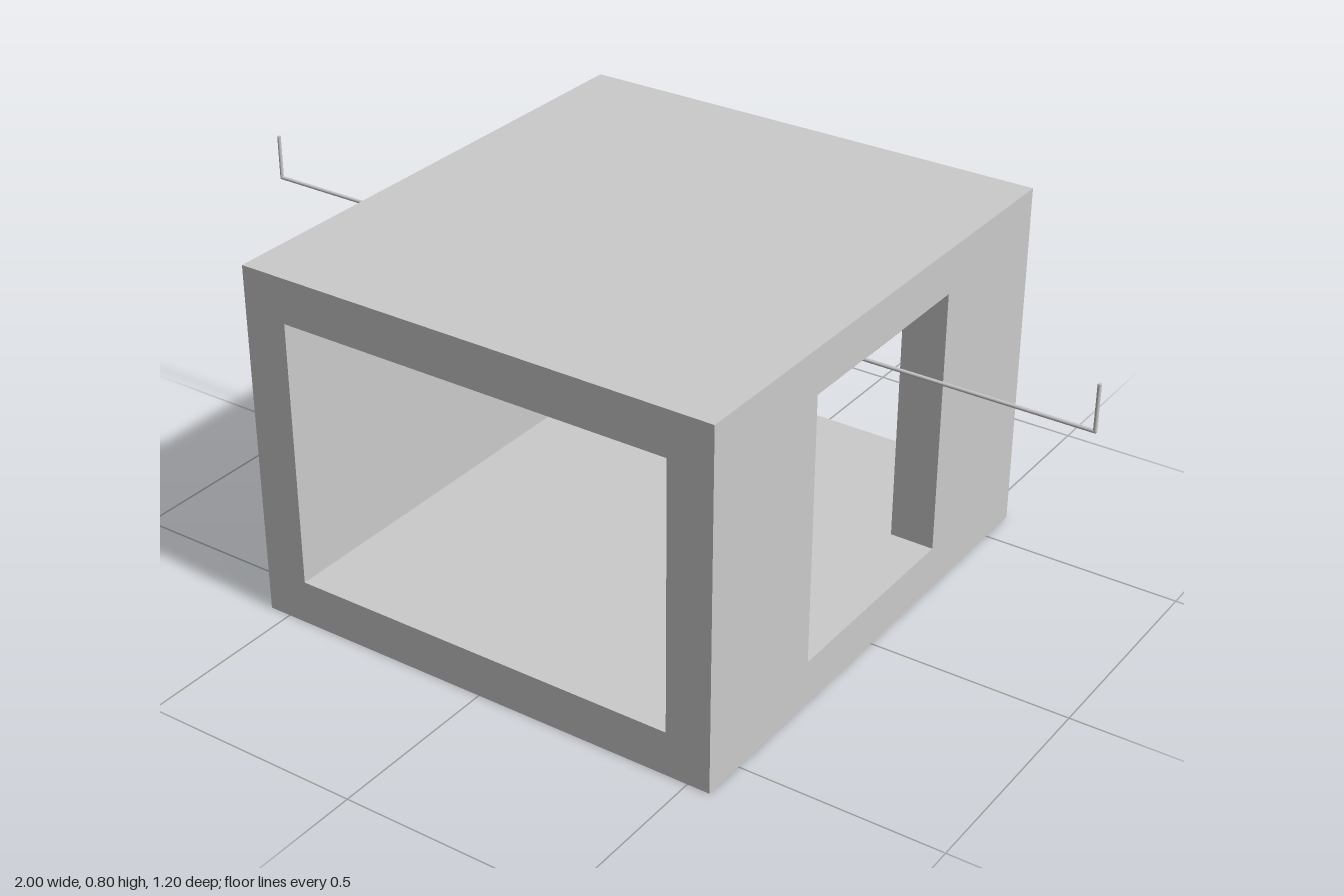
import * as THREE from 'three';

const grey = new THREE.MeshStandardMaterial({ color: 0xcccccc });
const UP = new THREE.Vector3(0, 1, 0);
const zMid = 0.002, zFront = 0.6, zBack = -0.596;

// Upright prism from a floor plan given as [x, z] corners
function prism(name, plan, y, height) {
  const shape = new THREE.Shape(plan.map(([x, z]) => new THREE.Vector2(x, -z)));
  const geo = new THREE.ExtrudeGeometry(shape, { depth: height, bevelEnabled: false });
  geo.rotateX(-Math.PI / 2).translate(0, y, 0);
  const mesh = new THREE.Mesh(geo, grey);
  mesh.name = name;
  return mesh;
}

const rect = (x0, x1, z0, z1) => [[x0, z1], [x1, z1], [x1, z0], [x0, z0]];

// Thin round rod through a list of points, with ball elbows
function rod(name, points, radius = 0.004) {
  const group = new THREE.Group();
  group.name = name;
  const pts = points.map((p) => new THREE.Vector3(...p));
  for (let i = 1; i < pts.length; i++) {
    const dir = pts[i].clone().sub(pts[i - 1]);
    const bar = new THREE.Mesh(new THREE.CylinderGeometry(radius, radius, dir.length(), 12), grey);
    bar.position.copy(pts[i]).add(pts[i - 1]).multiplyScalar(0.5);
    bar.quaternion.setFromUnitVectors(UP, dir.normalize());
    group.add(bar);
    if (i < pts.length - 1) {
      const elbow = new THREE.Mesh(new THREE.SphereGeometry(radius, 12, 8), grey);
      elbow.position.copy(pts[i]);
      group.add(elbow);
    }
  }
  return group;
}

export function createModel() {
  const model = new THREE.Group();
  model.name = 'openHousing';

  // Floor and roof slabs
  const outline = rect(-0.55, 0.55, zBack, zFront);
  model.add(prism('floor', outline, 0, 0.1), prism('roof', outline, 0.7, 0.1));

  // Left wall in two parts, leaving the side opening between them
  model.add(prism('leftWallFront', rect(0.45, 0.55, zMid + 0.25, zFront), 0.1, 0.6));
  model.add(prism('leftWallBack', rect(0.45, 0.55, zBack, zMid - 0.25), 0.1, 0.6));

  // Solid right wall with the thick rear block and its slanted jamb
  const blockZ = zMid - 0.25;
  model.add(prism('rightWall', [
    [-0.55, zFront], [-0.45, zFront], [-0.45, blockZ],
    [-0.23, blockZ], [-0.1, zBack], [-0.55, zBack],
  ], 0.1, 0.6));

  // Rods under the roof: arms with upturned ends, and links between their midpoints
  const y = 0.65, tip = 0.75, end = 0.996, half = 0.5, zHalf = -0.298;
  model.add(rod('backArm', [[0, y, zMid], [0, y, zBack], [0, tip, zBack]]));
  model.add(rod('backMidPost', [[0, y, zHalf], [0, tip, zHalf]]));
  for (const [side, s] of [['left', 1], ['right', -1]]) {
    model.add(rod(side + 'Arm', [[0, y, zMid], [s * end, y, zMid], [s * end, tip, zMid]]));
    model.add(rod(side + 'MidPost', [[s * half, y, zMid], [s * half, tip, zMid]]));
    model.add(rod(side + 'Link', [[s * half, y, zMid], [s * half, y, zHalf], [0, y, zHalf]]));
  }
  return model;
}
